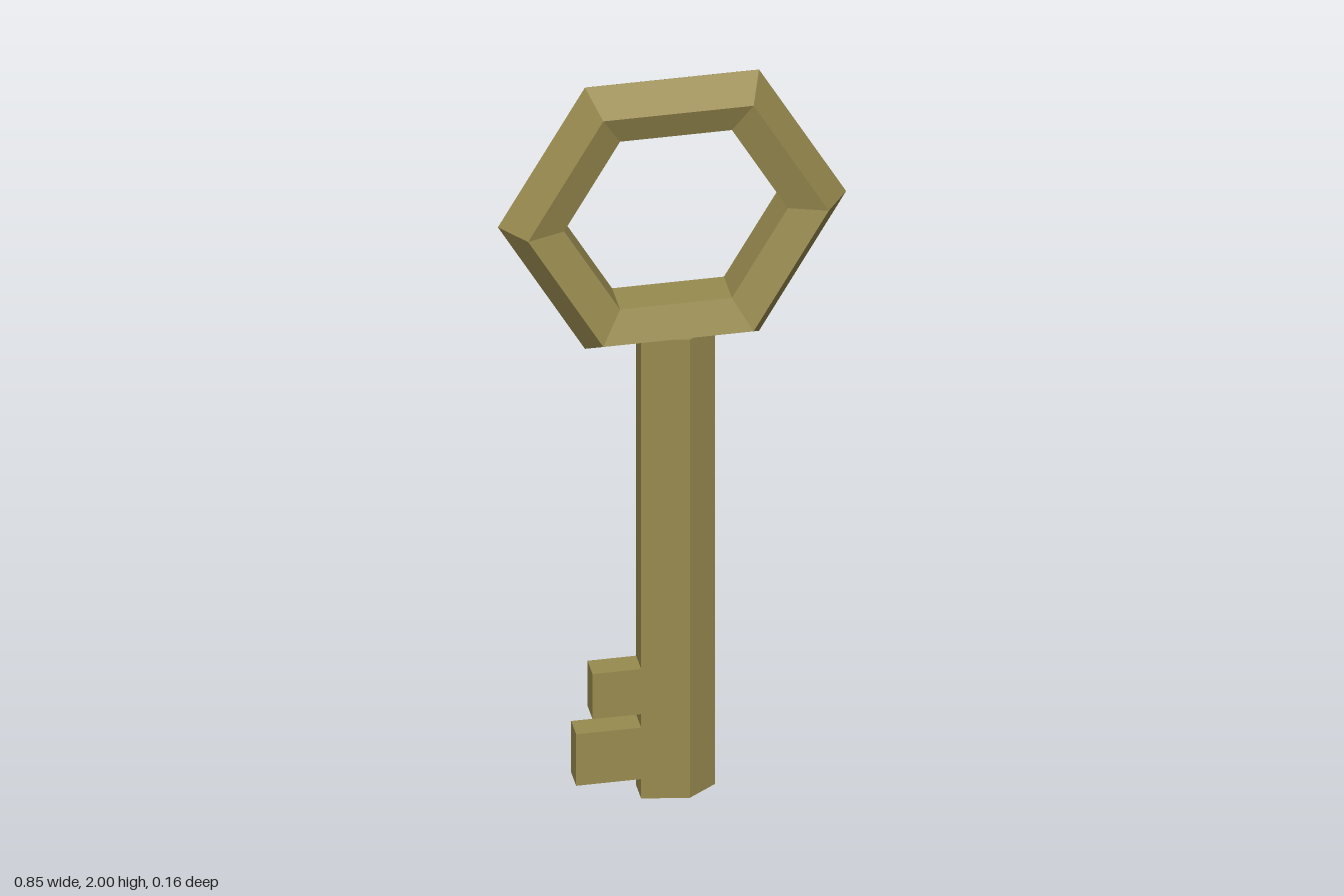
import * as THREE from 'three';

export function createModel() {
  const model = new THREE.Group();
  model.name = 'key';

  const brass = new THREE.MeshStandardMaterial({ color: 0x998b50 });
  brass.name = 'agedBrass';
  brass.flatShading = true;

  const add = (name, geometry, x, y, z = 0) => {
    const mesh = new THREE.Mesh(geometry, brass);
    mesh.name = name;
    mesh.position.set(x, y, z);
    model.add(mesh);
    return mesh;
  };

  // Hexagonal bow with a five-sided section, its ridge facing outwards
  add('bow', new THREE.TorusGeometry(0.341, 0.084, 5, 6), 0, 1.632);

  // Flattened five-sided shaft, its ridge facing +x and its top sunk in the bow
  const shaftHeight = 1.29;
  const shaft = new THREE.CylinderGeometry(0.103, 0.103, shaftHeight, 5, 1, false, Math.PI / 2);
  shaft.scale(1, 1, 0.51);
  add('shaft', shaft, 0.002, shaftHeight / 2);

  // Two teeth running out from the flat side of the shaft: [tip x, bottom, top]
  const root = -0.078;
  [
    ['lowerTooth', -0.24, 0.055, 0.2],
    ['upperTooth', -0.2, 0.238, 0.365],
  ].forEach(([name, tip, bottom, top]) => {
    add(name, new THREE.BoxGeometry(root - tip, top - bottom, 0.062), (root + tip) / 2, (bottom + top) / 2);
  });

  return model;
}
